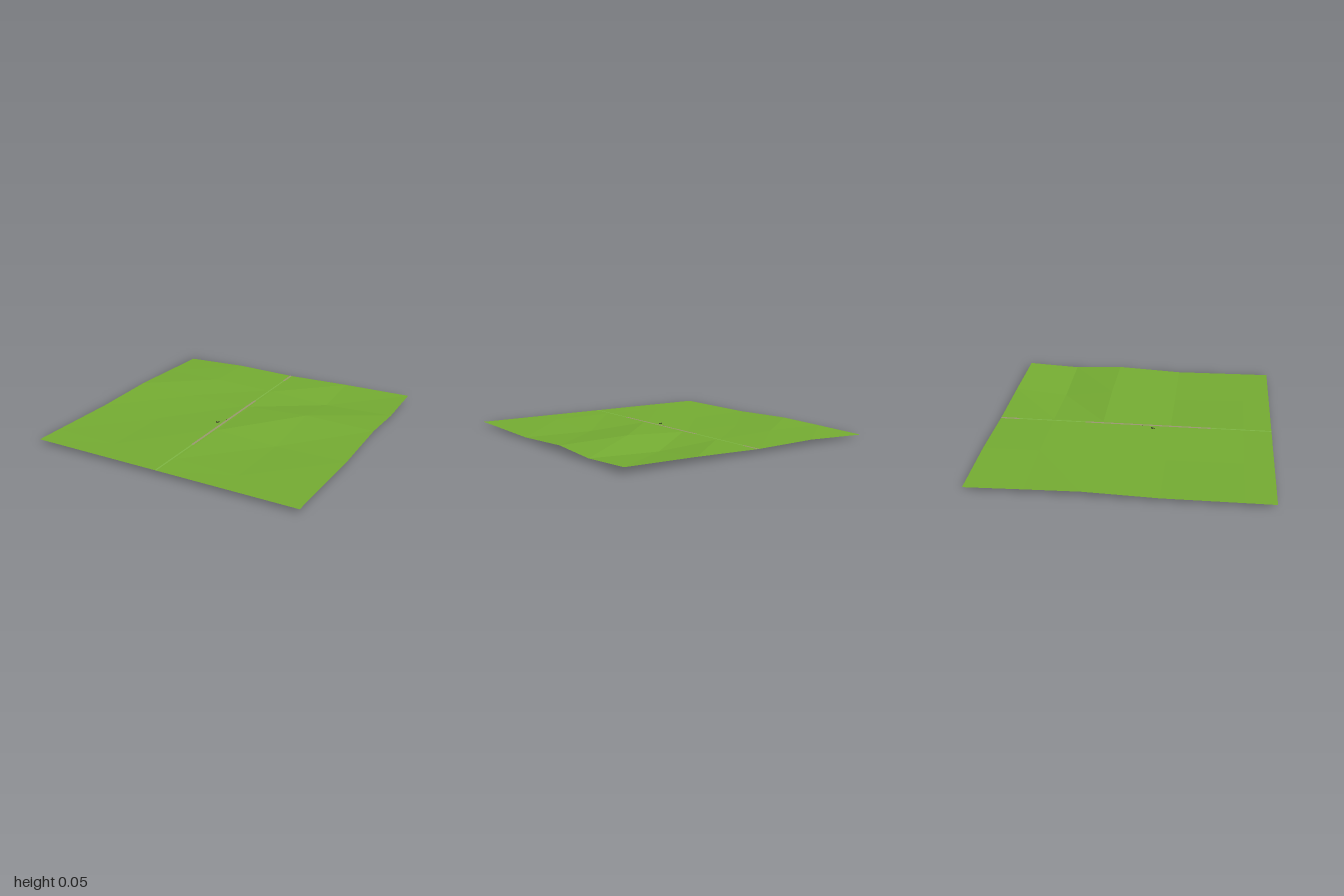
import * as THREE from 'three';

const mat = (name, color, extra = {}) => {
  const m = new THREE.MeshStandardMaterial({ color, ...extra });
  m.name = name;
  return m;
};

export function createModel() {
  const group = new THREE.Group();
  const grass = mat('grass green', 0x76ae33, { flatShading: true, side: THREE.DoubleSide });
  const verge = mat('light verge green', 0x80b844, { side: THREE.DoubleSide });
  const gravel = mat('path taupe', 0x9c9a72, { side: THREE.DoubleSide });
  const dark = mat('dark foliage', 0x34501c, { flatShading: true });
  const bark = mat('bark brown', 0x4a3a26, { flatShading: true });

  const add = (name, geometry, material, x = 0, y = 0, z = 0) => {
    const m = new THREE.Mesh(geometry, material);
    m.name = name;
    m.position.set(x, y, z);
    group.add(m);
    return m;
  };

  // Rolling ground: heights on an uneven grid, level along the central path
  const xs = [-0.99, -0.5, -0.04, 0, 0.47, 0.99];
  const zs = [-1, -0.6, -0.23, 0.27, 0.8, 1];
  const heights = [
    [0.019, 0.037, 0.029, 0.029, 0.040, 0.045],
    [0.030, 0.040, 0.029, 0.029, 0.005, 0.025],
    [0.039, 0.027, 0.029, 0.029, 0.055, 0.045],
    [0.025, 0.017, 0.029, 0.029, 0.010, 0.020],
    [0.028, 0.026, 0.029, 0.029, 0.026, 0.027],
    [0.029, 0.029, 0.029, 0.029, 0.029, 0.029],
  ];
  const ground = new THREE.PlaneGeometry(2, 2, xs.length - 1, zs.length - 1);
  const p = ground.attributes.position;
  for (let i = 0; i < p.count; i++) {
    const c = i % xs.length, r = Math.floor(i / xs.length);
    p.setXYZ(i, xs[c], heights[r][c], zs[r]);
  }
  ground.computeVertexNormals();
  add('ground', ground, grass);

  // Narrow path, grown over in places
  const strip = (name, z0, z1, width, material) => {
    const g = new THREE.PlaneGeometry(width, z1 - z0).rotateX(-Math.PI / 2);
    add(name, g, material, -0.022, 0.03, (z0 + z1) / 2);
  };
  strip('pathBack', -1, -0.86, 0.018, gravel);
  strip('vergeBack', -0.86, -0.36, 0.012, verge);
  strip('pathMiddle', -0.36, 0.56, 0.018, gravel);
  strip('vergeFront', 0.56, 1, 0.012, verge);

  // Tiny shrub with a fallen twig, and a stone by the path
  for (const [x, z, r] of [[-0.06, 0.135, 0.008], [-0.073, 0.142, 0.006], [-0.067, 0.155, 0.005]]) {
    add('shrub', new THREE.IcosahedronGeometry(r, 0), dark, x, 0.029, z).scale.y = 0.8;
  }
  const twig = add('twig', new THREE.CylinderGeometry(0.002, 0.002, 0.03, 5), bark, -0.065, 0.03, 0.145);
  twig.rotation.z = 1.3;
  add('stone', new THREE.IcosahedronGeometry(0.004, 0), bark, -0.037, 0.029, 0.065);

  return group;
}
